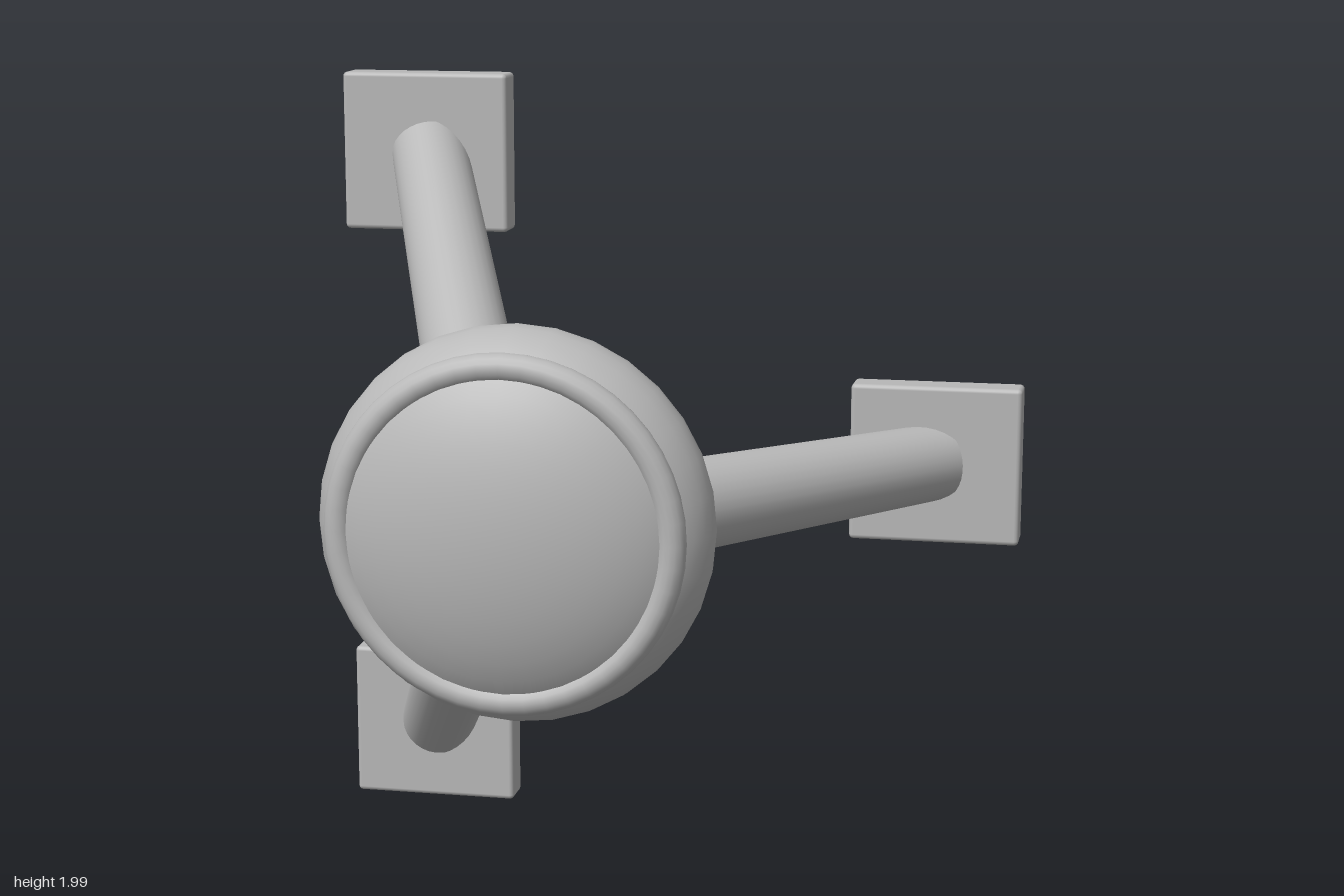
import * as THREE from 'three';
import { RoundedBoxGeometry } from 'three/addons/geometries/RoundedBoxGeometry.js';

export function createModel() {
  const model = new THREE.Group();
  model.name = 'threeArmedBody';
  const grey = new THREE.MeshStandardMaterial({ color: 0xb8b8b8 });
  grey.name = 'grey';

  const hub = new THREE.Vector3(-0.228, 1, 0.363);

  function add(name, geometry, position) {
    const mesh = new THREE.Mesh(geometry, grey);
    mesh.name = name;
    mesh.position.copy(position);
    model.add(mesh);
    return mesh;
  }

  // flattened round body, poles along z
  const bodyGeometry = new THREE.SphereGeometry(1, 32, 24);
  bodyGeometry.rotateX(Math.PI / 2).scale(0.485, 0.485, 0.243);
  add('body', bodyGeometry, hub);

  // raised ring around the front dome
  add('frontRing', new THREE.TorusGeometry(0.403, 0.035, 16, 48),
    new THREE.Vector3(hub.x, hub.y, 0.49));

  // three splayed arms, each ending in an upright mounting pad
  const up = new THREE.Vector3(0, 1, 0);
  ['left', 'upperRight', 'lowerRight'].forEach((side, i) => {
    const angle = i * Math.PI * 2 / 3;
    const at = (radius, z) => new THREE.Vector3(
      hub.x + radius * Math.cos(angle), hub.y + radius * Math.sin(angle), z);
    const start = at(0.18, 0.3);
    const end = at(0.911, -0.548);
    const along = end.clone().sub(start);

    const arm = add(side + 'Arm',
      new THREE.CylinderGeometry(0.1, 0.12, along.length(), 32),
      start.clone().add(end).multiplyScalar(0.5));
    arm.quaternion.setFromUnitVectors(up, along.normalize());

    add(side + 'Pad', new RoundedBoxGeometry(0.446, 0.416, 0.095, 2, 0.012), end);
  });

  return model;
}
